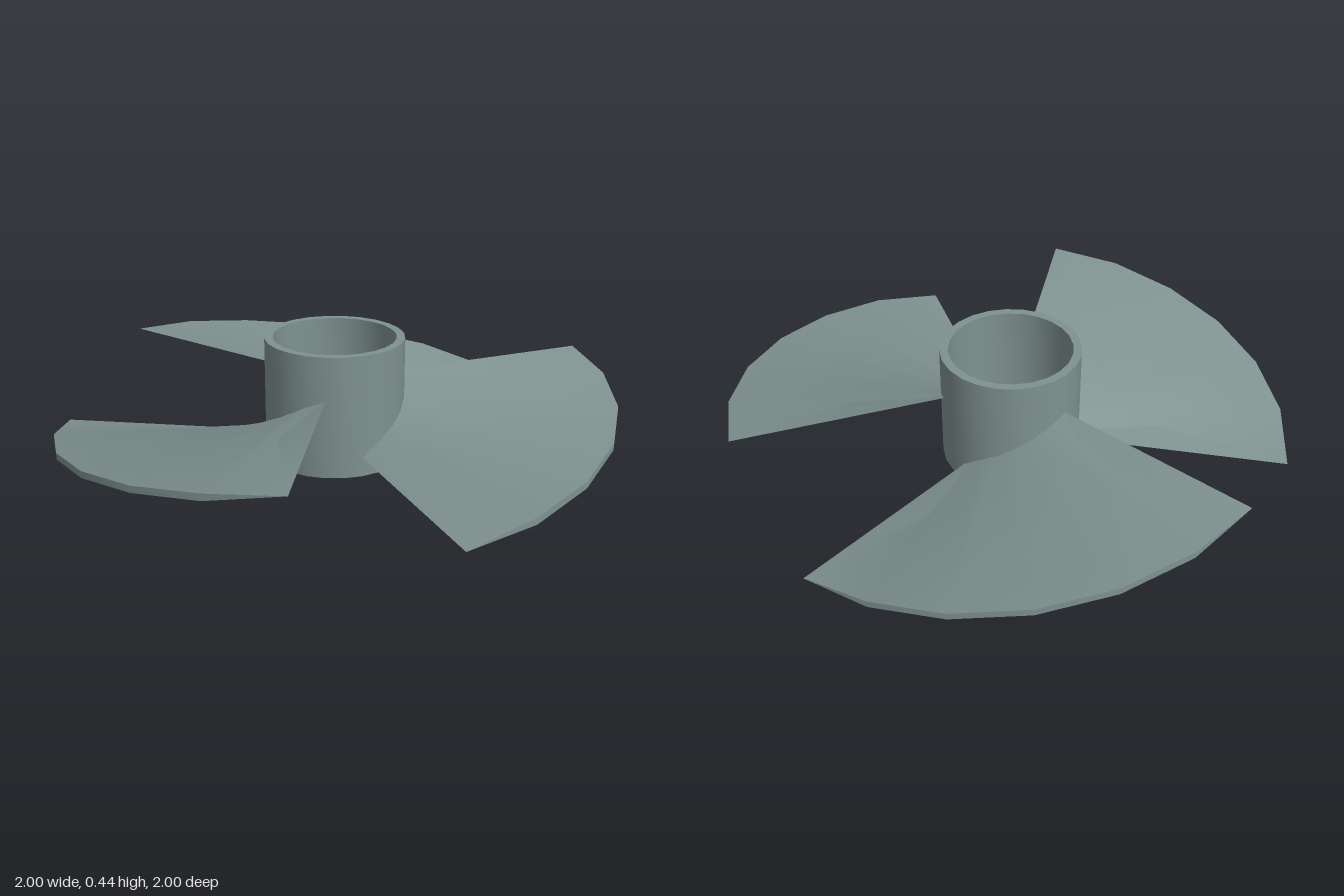
import * as THREE from 'three';
import { toCreasedNormals } from 'three/addons/utils/BufferGeometryUtils.js';

const HUB_R = 0.25, HUB_H = 0.44, BORE_R = 0.22, FLOOR = 0.03;
const TIP_R = 1, LOW = 0.07, HIGH = 0.28, HALF_THICK = 0.012;
const STEPS = 6, SWEEP = Math.PI / 2;

// Helical blade: a four-cornered section swept a quarter turn, pinched to a sharp edge at both ends
function bladeGeometry() {
  const positions = [], index = [];
  for (let i = 0; i <= STEPS; i++) {
    const t = i / STEPS, a = t * SWEEP;
    const y = LOW + (HIGH - LOW) * t;
    const h = i === 0 || i === STEPS ? 0 : HALF_THICK;
    // inner top, outer top, outer bottom, inner bottom
    for (const [r, dy] of [[HUB_R - 0.01, h], [TIP_R, h], [TIP_R, -h], [HUB_R - 0.01, -h]]) {
      positions.push(r * Math.cos(a), y + dy, -r * Math.sin(a));
    }
  }
  for (let i = 0; i < STEPS; i++) {
    for (let k = 0; k < 4; k++) {
      const a = i * 4 + k, b = i * 4 + (k + 1) % 4;
      index.push(a, b, b + 4, a, b + 4, a + 4);
    }
  }
  const geometry = new THREE.BufferGeometry();
  geometry.setAttribute('position', new THREE.Float32BufferAttribute(positions, 3));
  geometry.setIndex(index);
  return toCreasedNormals(geometry, 0.9);
}

export function createModel() {
  const model = new THREE.Group();
  model.name = 'propeller';
  const material = new THREE.MeshStandardMaterial({ color: 0x7f9290, side: THREE.DoubleSide });

  // Cup-shaped hub, closed at the bottom and open at the top
  const profile = [
    [0, 0], [HUB_R, 0], [HUB_R, HUB_H], [BORE_R, HUB_H], [BORE_R, FLOOR], [0, FLOOR],
  ].map(([r, y]) => new THREE.Vector2(r, y));
  const hub = new THREE.Mesh(toCreasedNormals(new THREE.LatheGeometry(profile, 24), 0.6), material);
  hub.name = 'hub';
  model.add(hub);

  // Three identical blades
  const geometry = bladeGeometry();
  for (let i = 0; i < 3; i++) {
    const blade = new THREE.Mesh(geometry, material);
    blade.name = `blade${i + 1}`;
    blade.rotation.y = i * Math.PI * 2 / 3;
    model.add(blade);
  }
  return model;
}
